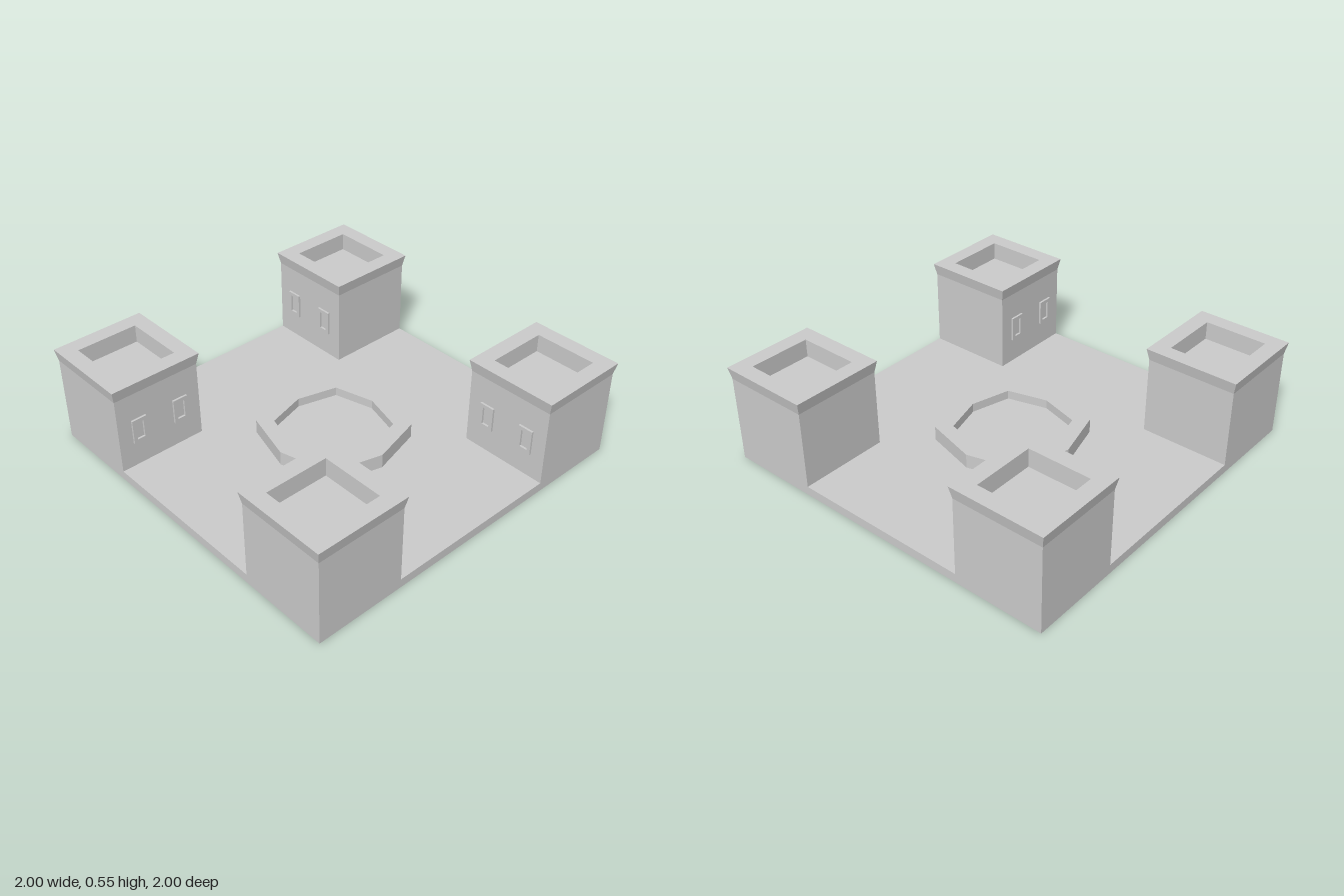
import * as THREE from 'three';

const material = new THREE.MeshStandardMaterial({ color: 0xcccccc, flatShading: true });

function part(name, geometry, parent) {
  const mesh = new THREE.Mesh(geometry, material);
  mesh.name = name;
  parent.add(mesh);
  return mesh;
}

// Square-plan solid from a [half width, height] profile
function squareLathe(profile) {
  const points = profile.map(([h, y]) => new THREE.Vector2(h * Math.SQRT2, y));
  return new THREE.LatheGeometry(points, 4).rotateY(Math.PI / 4);
}

// Eight corners: four on the axes, four on the diagonals
function octagon(axis, diagonal) {
  return Array.from({ length: 8 }, (_, i) => {
    const r = i % 2 ? diagonal * Math.SQRT2 : axis;
    const a = (i * Math.PI) / 4;
    return new THREE.Vector2(r * Math.cos(a), r * Math.sin(a));
  });
}

function rectangle(w, h) {
  return [[-1, -1], [1, -1], [1, 1], [-1, 1]]
    .map(([x, y]) => new THREE.Vector2((x * w) / 2, (y * h) / 2));
}

function framed(outer, inner, depth) {
  const shape = new THREE.Shape(outer);
  shape.holes.push(new THREE.Path(inner));
  return new THREE.ExtrudeGeometry(shape, { depth, bevelEnabled: false });
}

export function createModel() {
  const model = new THREE.Group();
  model.name = 'courtyard';

  // Ground slab
  part('groundSlab', new THREE.BoxGeometry(1.975, 0.05, 1.975), model).position.y = 0.025;

  // Fountain ring and the floor of its pool
  const ring = framed(octagon(0.365, 0.287), octagon(0.28, 0.22), 0.08).rotateX(-Math.PI / 2);
  part('fountainRing', ring, model).position.y = 0.05;
  const pool = new THREE.ShapeGeometry(new THREE.Shape(octagon(0.28, 0.22))).rotateX(-Math.PI / 2);
  part('poolFloor', pool, model).position.y = 0.08;

  // Corner towers: straight walls, flared cornice, sunken roof
  const half = 0.2475;
  const towerGeometry = squareLathe([
    [half, 0.04], [half, 0.48], [0.26, 0.545], [0.172, 0.545], [0.172, 0.445], [0, 0.445],
  ]);
  const windowGeometry = framed(rectangle(0.085, 0.14), rectangle(0.045, 0.1), 0.012);

  // Each tower: side in x, side in z, turn of the wall that has windows
  const towers = [
    [1, 1, -Math.PI / 2],
    [1, -1, -Math.PI / 2],
    [-1, 1, Math.PI],
    [-1, -1, 0],
  ];
  for (const [sx, sz, turn] of towers) {
    const tower = new THREE.Group();
    tower.name = (sz > 0 ? 'front' : 'back') + (sx > 0 ? 'Left' : 'Right') + 'Tower';
    tower.position.set(sx * 0.74, 0, sz * 0.74);
    part('towerWalls', towerGeometry, tower);

    // Pair of window frames on one inner wall
    const windows = new THREE.Group();
    windows.name = 'windows';
    windows.rotation.y = turn;
    for (const x of [-0.125, 0.125]) {
      part('windowFrame', windowGeometry, windows).position.set(x, 0.26, half);
    }
    tower.add(windows);
    model.add(tower);
  }
  return model;
}
